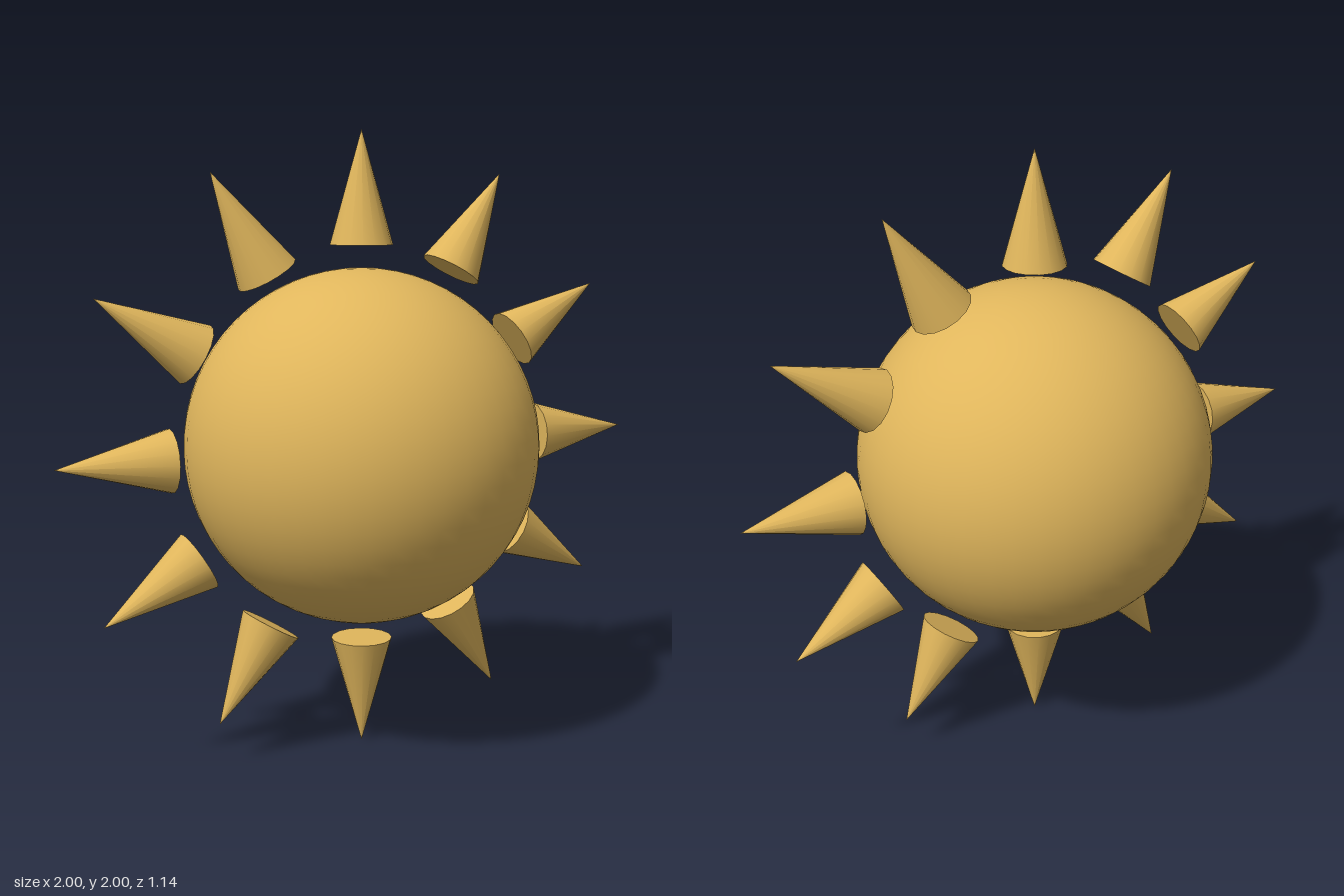
import * as THREE from 'three';

const RAYS = 12;
const BASE = 0.643; // distance from the centre to a ray's base
const TIP = 1.0; // distance from the centre to a ray's tip

export function createModel() {
  const gold = new THREE.MeshStandardMaterial({ color: 0xe0b65c });
  gold.name = 'gold';

  const sun = new THREE.Group();
  sun.name = 'sun';
  sun.position.y = 1;

  // Central ball
  const ball = new THREE.Mesh(new THREE.SphereGeometry(0.571, 48, 32), gold);
  ball.name = 'ball';
  sun.add(ball);

  // Ring of free-floating cones pointing outwards
  const rayGeometry = new THREE.ConeGeometry(0.1, TIP - BASE, 16);
  rayGeometry.translate(0, (BASE + TIP) / 2, 0);
  for (let i = 0; i < RAYS; i++) {
    const ray = new THREE.Mesh(rayGeometry, gold);
    ray.name = `ray${i + 1}`;
    ray.rotation.z = (-i / RAYS) * Math.PI * 2;
    sun.add(ray);
  }

  const model = new THREE.Group();
  model.name = 'sunModel';
  model.add(sun);
  return model;
}
